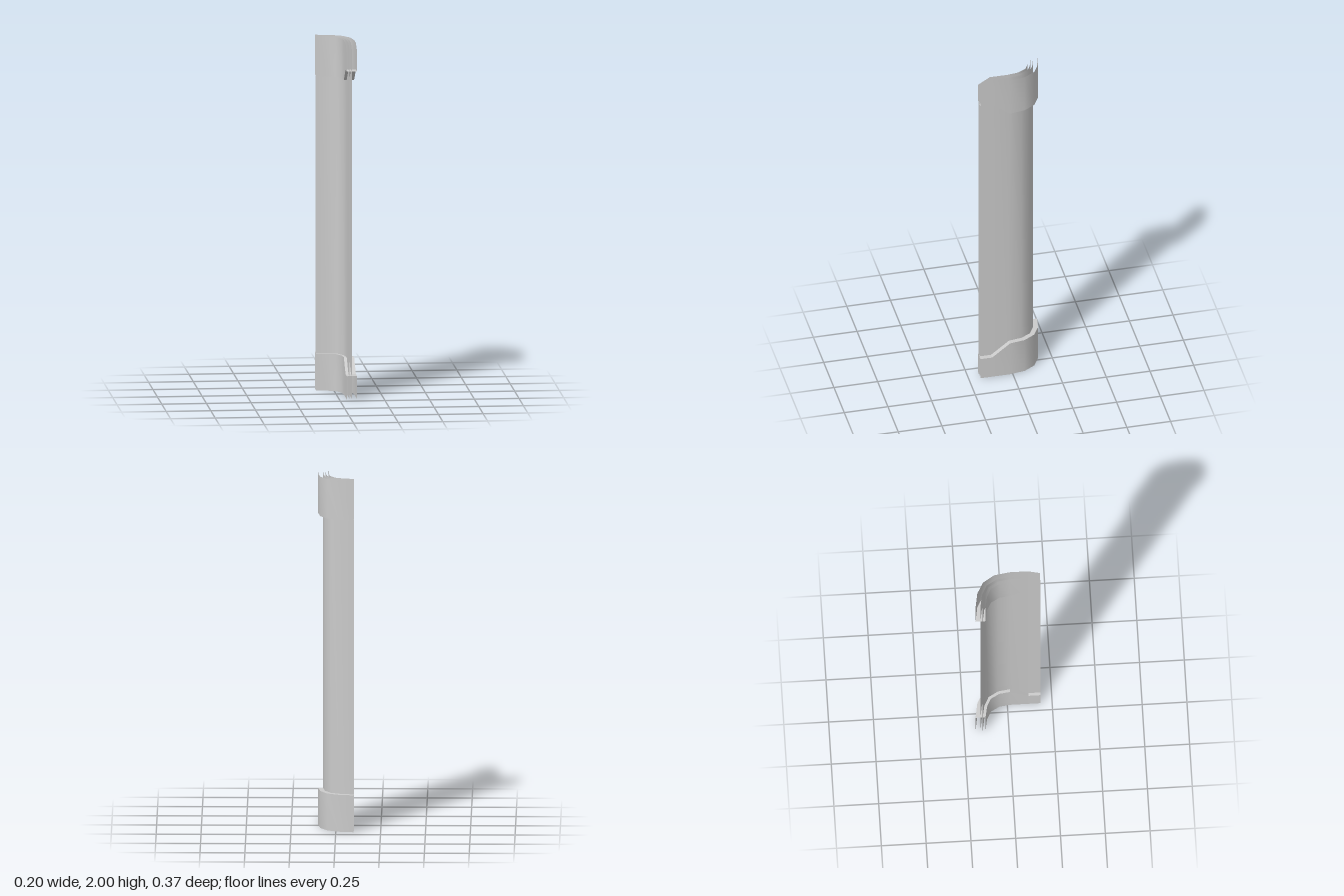
import * as THREE from 'three';

// Plan outlines [x, z] of the outer and inner sleeve walls, from the back edge round to the front edge
const OUTER = [[-0.1, -0.186], [-0.015, -0.171], [0.048, -0.135], [0.087, -0.071], [0.1, 0.015], [0.1, 0.118], [0.1, 0.185]];
const INNER = [[-0.1, -0.13], [-0.038, -0.118], [0.007, -0.095], [0.034, -0.045], [0.042, 0.015], [0.042, 0.118], [0.042, 0.185]];

// Heights along the outlines
const level = (back, front) => OUTER.map((_, i) => (i < 5 ? back : front));
const FLOOR = level(0, 0);
const TOP = OUTER.map((_, i) => (i === 6 ? 1.96 : 2)); // clipped front corner
const LOWER_RIM = level(0.21, 0.13);
const UPPER_RIM = level(1.775, 1.85);

const between = (t) => INNER.map(([x, z], i) => [x + (OUTER[i][0] - x) * t, z + (OUTER[i][1] - z) * t]);

const material = new THREE.MeshStandardMaterial({ color: 0xcccccc, side: THREE.DoubleSide });

// Sheet spanning two edges, each an outline with heights
function ribbon(name, planA, heightsA, planB, heightsB, faceted = false) {
  const positions = [], index = [];
  planA.forEach(([x, z], i) => {
    positions.push(x, heightsA[i], z, planB[i][0], heightsB[i], planB[i][1]);
    if (i > 0) {
      const k = 2 * i;
      index.push(k - 2, k, k - 1, k, k + 1, k - 1);
    }
  });
  let geometry = new THREE.BufferGeometry();
  geometry.setAttribute('position', new THREE.Float32BufferAttribute(positions, 3));
  geometry.setIndex(index);
  if (faceted) geometry = geometry.toNonIndexed();
  geometry.computeVertexNormals();
  const mesh = new THREE.Mesh(geometry, material);
  mesh.name = name;
  return mesh;
}

// Pair of open walls, concave inside and convex outside
function walls(name, inside, outside, low, high) {
  const group = new THREE.Group();
  group.name = name;
  group.add(
    ribbon(name + 'InnerWall', inside, low, inside, high),
    ribbon(name + 'OuterWall', outside, high, outside, low)
  );
  return group;
}

export function createModel() {
  const model = new THREE.Group();
  model.name = 'curvedCornerPanel';

  // Full-height curved panel
  model.add(walls('panel', between(0.28), between(0.52), FLOOR, TOP));

  // Sleeves around both ends, each closed by a stepped rim
  const lower = walls('lowerSleeve', INNER, OUTER, FLOOR, LOWER_RIM);
  lower.add(ribbon('lowerRim', INNER, LOWER_RIM, OUTER, LOWER_RIM, true));
  const upper = walls('upperSleeve', INNER, OUTER, UPPER_RIM, TOP);
  upper.add(ribbon('upperRim', OUTER, UPPER_RIM, INNER, UPPER_RIM, true));
  model.add(lower, upper);

  return model;
}
